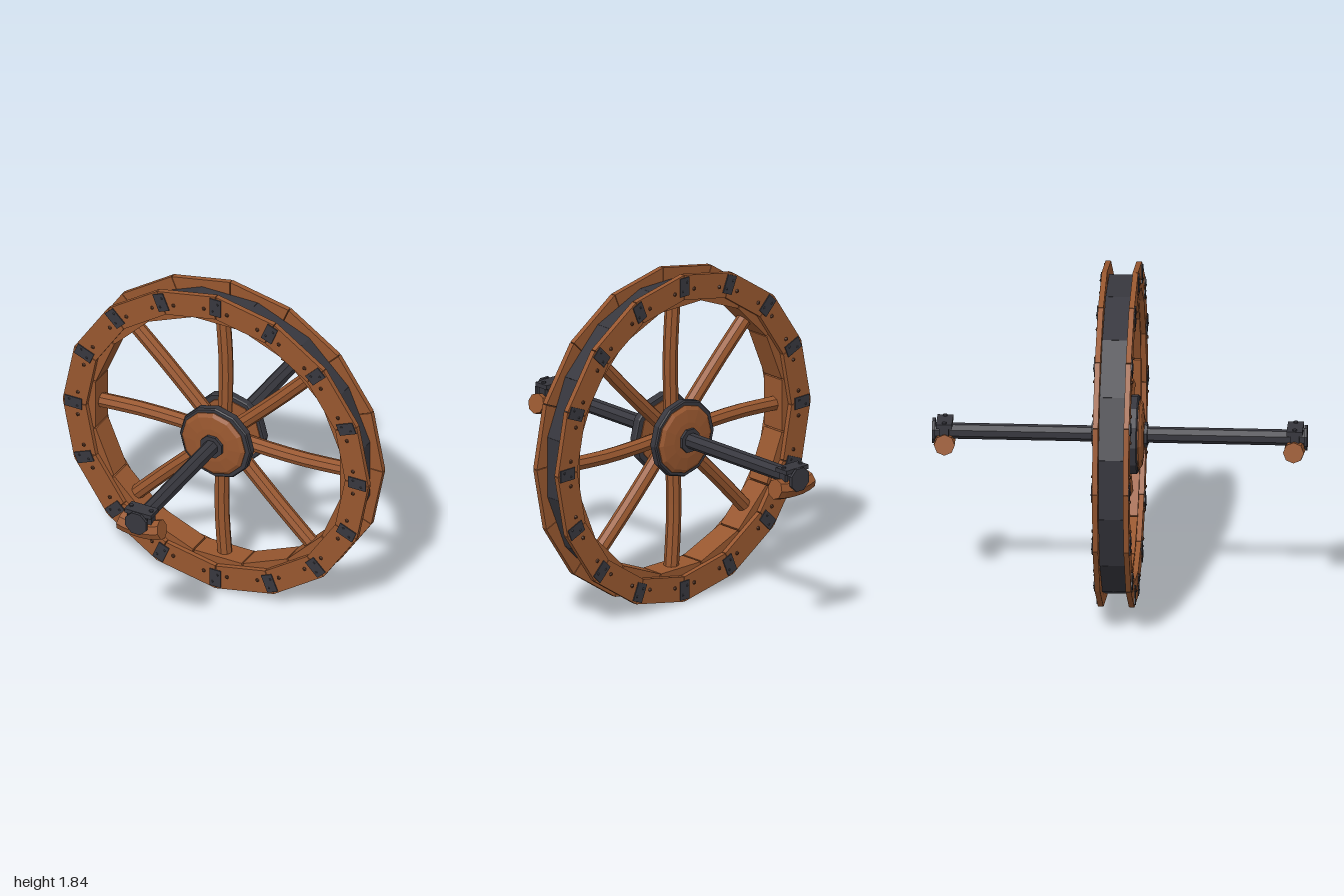
import * as THREE from 'three';

const wood = new THREE.MeshStandardMaterial({ color: 0x98572f, flatShading: true });
wood.name = 'wood';
const iron = new THREE.MeshStandardMaterial({ color: 0x37373e, flatShading: true });
iron.name = 'dark iron';
const rivet = new THREE.MeshStandardMaterial({ color: 0x5c3620, flatShading: true });
rivet.name = 'dark brown rivet';

const N = 16, STEP = (Math.PI * 2) / N, CY = 0.922;

function add(parent, name, geo, mat, x = 0, y = 0, z = 0) {
  const m = new THREE.Mesh(geo, mat);
  m.name = name;
  m.position.set(x, y, z);
  parent.add(m);
  return m;
}

// Straight wedge of a 16-sided ring, centred on +y; r0 and r1 are corner radii
function segment(r0, r1, z0, z1, gap) {
  const c = Math.cos(STEP / 2), s = Math.sin(STEP / 2);
  const shape = new THREE.Shape([
    new THREE.Vector2(-r0 * s + gap, r0 * c), new THREE.Vector2(r0 * s - gap, r0 * c),
    new THREE.Vector2(r1 * s - gap, r1 * c), new THREE.Vector2(-r1 * s + gap, r1 * c),
  ]);
  const geo = new THREE.ExtrudeGeometry(shape, { depth: z1 - z0, bevelEnabled: false });
  return geo.translate(0, 0, z0);
}

// Lathe or cylinder turned to lie along z
const disc = (r, len, sides) =>
  new THREE.CylinderGeometry(r, r, len, sides).rotateY(Math.PI / sides).rotateX(Math.PI / 2);

// Bent log with closed ends: rings of vertices along a curve
function log(points, radius, sides) {
  const curve = new THREE.CatmullRomCurve3(points.map(p => new THREE.Vector3(...p)));
  const group = new THREE.Group();
  add(group, 'logSide', new THREE.TubeGeometry(curve, 6, radius, sides, false), wood);
  const frames = curve.computeFrenetFrames(6, false);
  for (const t of [0, 1]) {
    const cap = add(group, 'logEnd', new THREE.CircleGeometry(radius, sides), wood);
    const k = t * 6, n = frames.normals[k], b = frames.binormals[k], d = frames.tangents[k];
    const basis = t
      ? new THREE.Matrix4().makeBasis(n, b.clone().cross(n).dot(d) > 0 ? b.clone().negate() : b, d)
      : new THREE.Matrix4().makeBasis(n, d.clone().negate().cross(n), d.clone().negate());
    if (t) basis.makeBasis(n, d.clone().cross(n), d);
    cap.quaternion.setFromRotationMatrix(basis);
    cap.position.copy(curve.getPoint(t));
  }
  return group;
}

// One face of the wheel with its half of the axle, facing +z
function buildSide() {
  const side = new THREE.Group();
  const plank = segment(0.782, 0.922, 0.068, 0.097, 0.002);
  const plate = new THREE.BoxGeometry(0.066, 0.104, 0.009);
  const stud = new THREE.SphereGeometry(0.011, 6, 4);
  for (let i = 0; i < N; i++) {
    add(side, 'rimPlank', plank, wood).rotation.z = (i + 0.5) * STEP;
    const joint = new THREE.Group();
    joint.name = 'rimJoint';
    joint.rotation.z = i * STEP;
    add(joint, 'jointPlate', plate, iron, 0, 0.856, 0.0985);
    for (const s of [-1, 1]) {
      add(joint, 'plateBolt', stud, iron, s * 0.015, 0.856 + s * 0.024, 0.101).scale.setScalar(0.7);
      add(joint, 'rimRivet', stud, rivet, s * 0.07, 0.83, 0.098);
    }
    side.add(joint);
  }

  // Hub plate: iron band around a domed wooden disc
  const band = [[0.17, 0.055], [0.21, 0.055], [0.215, 0.062], [0.215, 0.095], [0.208, 0.102], [0.17, 0.102], [0.17, 0.055]];
  const dome = [[0, 0.05], [0.185, 0.05], [0.19, 0.108], [0.17, 0.122], [0.1, 0.131], [0, 0.133]];
  const lathe = p => new THREE.LatheGeometry(p.map(q => new THREE.Vector2(...q)), 12).rotateX(Math.PI / 2);
  add(side, 'hubBand', lathe(band), iron);
  add(side, 'hubDisc', lathe(dome), wood).position.x = -0.006;
  add(side, 'axleCollar', disc(0.068, 0.03, 8), iron, 0, 0, 0.133);

  // Axle end with its cap and clamp
  add(side, 'axle', disc(0.043, 0.99, 8), iron, 0, 0, 0.495);
  add(side, 'axleCap', disc(0.068, 0.016, 8), iron, 0, 0, 0.992);
  add(side, 'clampPlate', new THREE.BoxGeometry(0.16, 0.024, 0.085), iron, 0, 0.049, 0.935);
  for (const s of [-1, 1]) {
    add(side, 'clampStrap', new THREE.BoxGeometry(0.022, 0.06, 0.05), iron, s * 0.062, 0.015, 0.935);
    add(side, 'clampBolt', new THREE.CylinderGeometry(0.012, 0.012, 0.012, 6), iron, s * 0.06, 0.064, 0.935);
  }

  // Bent wooden crossbar under the axle
  const bar = log([[-0.122, -0.042, 0.932], [-0.06, -0.055, 0.934], [0.06, -0.055, 0.934], [0.122, -0.038, 0.93]], 0.056, 8);
  bar.name = 'crossbar';
  side.add(bar);
  return side;
}

export function createModel() {
  const model = new THREE.Group();
  const wheel = new THREE.Group();
  wheel.name = 'wheel';
  wheel.position.y = CY;
  model.add(wheel);

  // Inner wooden ring and the iron tyre around it
  const inner = segment(0.752, 0.815, -0.07, 0.07, 0.004);
  const tyre = segment(0.815, 0.862, -0.067, 0.067, 0.0005);
  for (let i = 0; i < N; i++) {
    add(wheel, 'innerRingBlock', inner, wood).rotation.z = i * STEP;
    add(wheel, 'tyreSegment', tyre, iron).rotation.z = i * STEP;
  }

  // Eight slightly bowed spokes
  for (let i = 0; i < 8; i++) {
    const bow = i % 2 ? 0.004 : 0.011;
    const spoke = log([[0, 0.03, 0], [bow, 0.28, 0], [bow, 0.5, 0], [-bow * 0.5, 0.745, 0]], 0.041, 8);
    spoke.name = 'spoke';
    spoke.rotation.z = (i * Math.PI) / 4;
    wheel.add(spoke);
  }

  // Both faces
  for (const [name, turn] of [['frontSide', 0], ['backSide', Math.PI]]) {
    const side = buildSide();
    side.name = name;
    side.rotation.y = turn;
    wheel.add(side);
  }
  return model;
}
